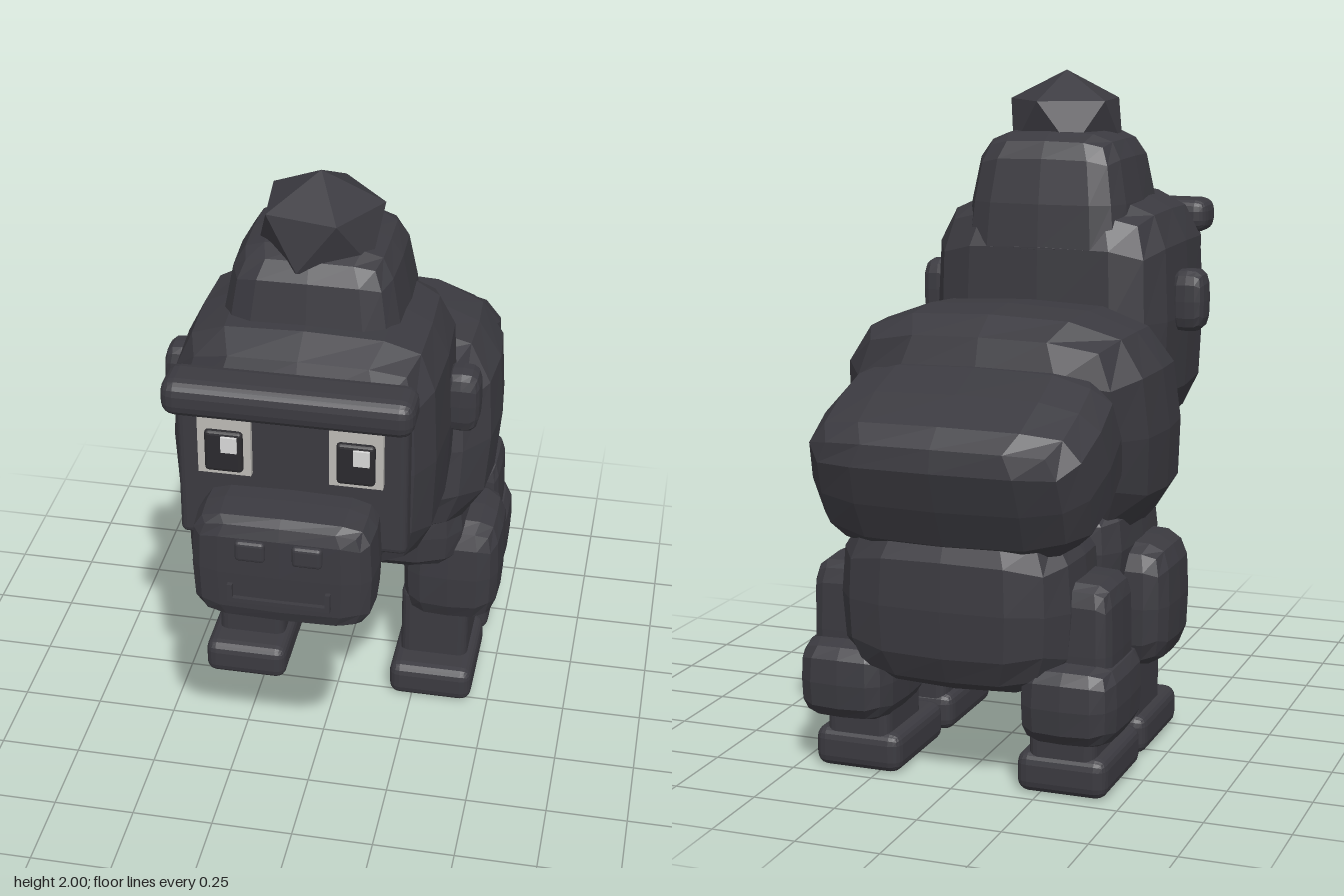
import * as THREE from 'three';
import { RoundedBoxGeometry } from 'three/addons/geometries/RoundedBoxGeometry.js';

const paint = (name, color) => {
  const m = new THREE.MeshStandardMaterial({ color });
  m.name = name;
  return m;
};

// faceted shading baked into the geometry
function facet(geometry) {
  const g = geometry.index ? geometry.toNonIndexed() : geometry;
  g.computeVertexNormals();
  return g;
}

// low-poly bulging block: a 4x4x4 box pulled onto a superellipsoid (lower power = rounder);
// top scales the upper end, lean slides it along z
function lump(w, h, d, power, top = 1, lean = 0) {
  const g = new THREE.BoxGeometry(2, 2, 2, 4, 4, 4);
  const p = g.attributes.position;
  const flat = 1 - 1.6 / power; // extent of the flatter middle of each face
  const spread = (v) => (Math.abs(v) > 0.9 ? Math.sign(v) : v * 2 * flat);
  for (let i = 0; i < p.count; i++) {
    const v = [spread(p.getX(i)), spread(p.getY(i)), spread(p.getZ(i))];
    const len = v.reduce((s, c) => s + Math.abs(c) ** power, 0) ** (1 / power);
    const [x, y, z] = v.map((c) => c / len);
    const taper = 1 + (top - 1) * (y + 1) / 2;
    p.setXYZ(i, x * taper * w / 2, y * h / 2, z * taper * d / 2 + lean * y * h / 2);
  }
  return facet(g);
}

const block = (w, h, d, r) => facet(new RoundedBoxGeometry(w, h, d, 2, r));

export function createModel() {
  const fur = paint('charcoal fur', 0x3b3a40);
  const eyeWhite = paint('eye white', 0xbdbbb6);
  const pupilDark = paint('pupil', 0x2b2a2e);
  const glint = paint('eye glint', 0xd8d8d8);

  const model = new THREE.Group();
  model.name = 'gorilla';

  function add(name, geometry, x, y, z, material = fur, tilt = 0) {
    const mesh = new THREE.Mesh(geometry, material);
    mesh.name = name;
    mesh.position.set(x, y, z);
    mesh.rotation.x = tilt;
    model.add(mesh);
    return mesh;
  }

  // torso
  add('chest', lump(0.97, 0.71, 0.63, 3.4, 1, -0.16), 0, 0.985, -0.215);
  add('belly', lump(0.81, 0.28, 0.54, 5), 0, 0.645, -0.21);
  add('hips', lump(0.86, 0.43, 0.53, 3.9), 0, 0.942, -0.61, fur, -0.4);
  add('pelvis', lump(0.72, 0.53, 0.475, 3.5), 0, 0.545, -0.585);

  // head with stepped crest and hair knot
  add('head', lump(0.78, 0.78, 0.675, 4.1), 0, 1.245, 0.304);
  add('crest', lump(0.58, 0.44, 0.55, 4.4, 0.78), 0, 1.605, 0.232);
  const knot = new THREE.IcosahedronGeometry(0.163, 0);
  knot.rotateX(-1.0172);
  knot.rotateY(0.42);
  knot.scale(1.23, 1, 1.23);
  add('hairKnot', facet(knot), 0.005, 1.837, 0.265);

  // face
  add('facePlate', block(0.65, 0.44, 0.08, 0.02), 0, 1.25, 0.64);
  add('brow', block(0.7, 0.11, 0.145, 0.04), 0, 1.515, 0.692);
  add('muzzle', lump(0.52, 0.352, 0.25, 5.2), 0, 1.043, 0.74);
  add('mouth', new THREE.BoxGeometry(0.29, 0.014, 0.03), 0, 0.96, 0.86);

  for (const side of [-1, 1]) {
    const tag = side > 0 ? 'left' : 'right';
    const put = (part, geometry, x, y, z, material) => add(tag + part, geometry, side * x, y, z, material);

    // facial details
    put('MouthCorner', new THREE.BoxGeometry(0.014, 0.05, 0.03), 0.138, 0.985, 0.86);
    put('Nostril', block(0.085, 0.065, 0.03, 0.012), 0.08, 1.125, 0.861);
    put('EyeWhite', new THREE.BoxGeometry(0.15, 0.18, 0.03), 0.185, 1.35, 0.685, eyeWhite);
    put('Pupil', block(0.108, 0.13, 0.03, 0.012), 0.185, 1.338, 0.7, pupilDark);
    add(tag + 'EyeGlint', new THREE.BoxGeometry(0.045, 0.048, 0.009),
      side * 0.185 + 0.018, 1.367, 0.719, glint);
    put('Ear', lump(0.11, 0.195, 0.128, 3.6), 0.413, 1.3, 0.235);

    // front limbs
    put('UpperArm', lump(0.315, 0.39, 0.345, 4), 0.355, 0.463, -0.18);
    put('Forearm', block(0.22, 0.3, 0.25, 0.03), 0.307, 0.22, -0.185);
    put('Hand', block(0.27, 0.12, 0.35, 0.035), 0.31, 0.06, -0.14);

    // hind limbs
    put('Thigh', lump(0.25, 0.42, 0.265, 5.2), 0.335, 0.42, -0.575);
    put('Calf', lump(0.295, 0.25, 0.39, 4), 0.34, 0.28, -0.588);
    put('Ankle', block(0.2, 0.16, 0.25, 0.03), 0.315, 0.16, -0.575);
    put('Foot', block(0.27, 0.12, 0.355, 0.035), 0.315, 0.06, -0.533);
  }
  return model;
}
